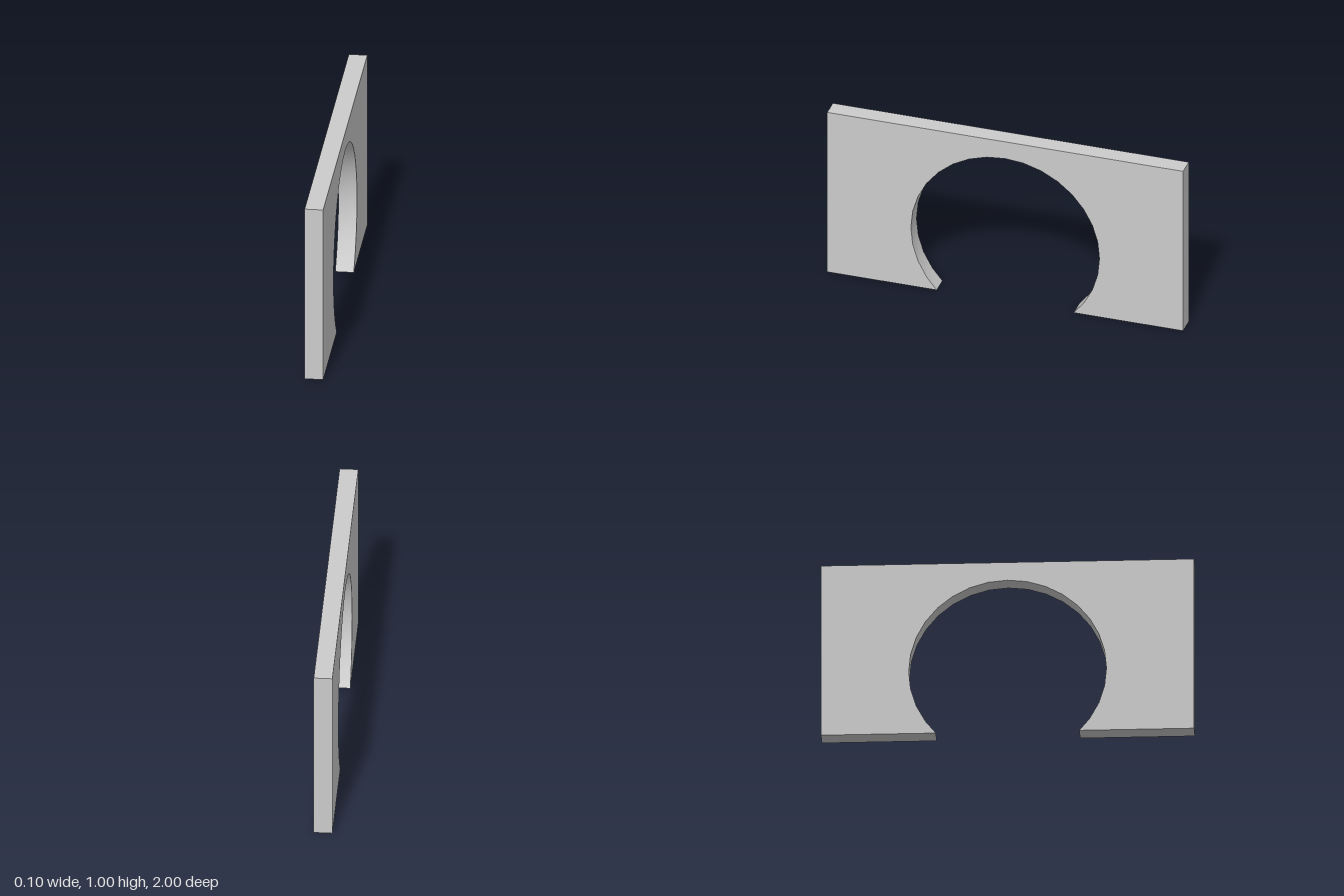
import * as THREE from 'three';
import { toCreasedNormals } from 'three/addons/utils/BufferGeometryUtils.js';

const LENGTH = 2, HEIGHT = 1, THICKNESS = 0.1;
const RADIUS = 0.53, CENTRE_Y = 0.365, STEP = Math.PI / 16;

export function createModel() {
  const group = new THREE.Group();
  group.name = 'archedWall';

  // Wall outline, with a round opening cut off by the ground
  const outline = new THREE.Shape();
  const foot = Math.sqrt(RADIUS ** 2 - CENTRE_Y ** 2);
  outline.moveTo(foot, 0);
  outline.lineTo(LENGTH / 2, 0);
  outline.lineTo(LENGTH / 2, HEIGHT);
  outline.lineTo(-LENGTH / 2, HEIGHT);
  outline.lineTo(-LENGTH / 2, 0);
  outline.lineTo(-foot, 0);
  for (let i = 19; i >= -3; i--) {
    outline.lineTo(RADIUS * Math.cos(i * STEP), CENTRE_Y + RADIUS * Math.sin(i * STEP));
  }
  outline.closePath();

  // Extrude through the thickness and turn the length along z
  const slab = new THREE.ExtrudeGeometry(outline, { depth: THICKNESS, bevelEnabled: false });
  slab.translate(0, 0, -THICKNESS / 2);
  slab.rotateY(Math.PI / 2);

  const wall = new THREE.Mesh(
    toCreasedNormals(slab, Math.PI / 6),
    new THREE.MeshStandardMaterial({ color: 0xcccccc })
  );
  wall.name = 'wall';
  group.add(wall);
  return group;
}
